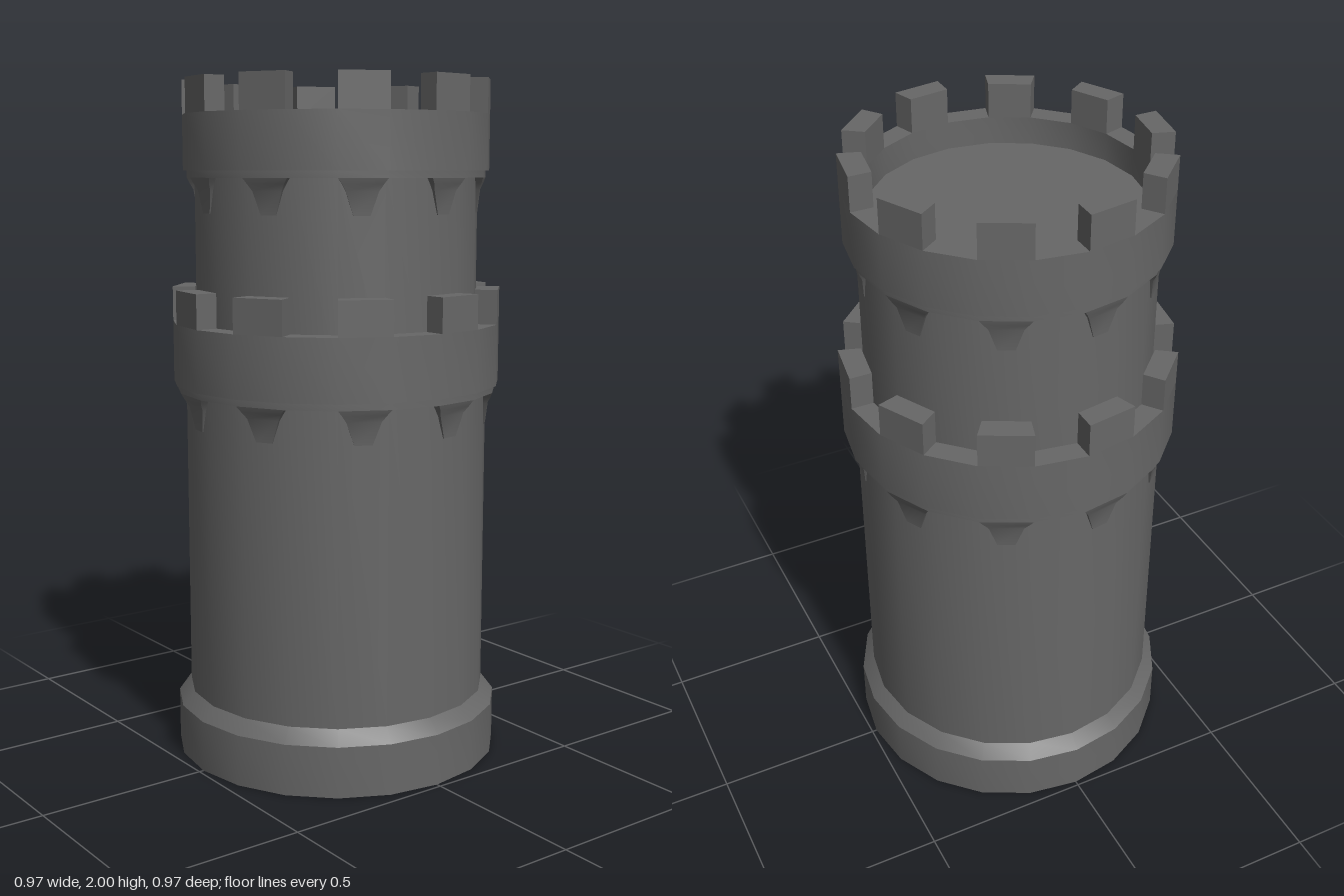
import * as THREE from 'three';
import { toCreasedNormals } from 'three/addons/utils/BufferGeometryUtils.js';

const SIDES = 20;
const HALF = Math.PI / SIDES;
const stone = new THREE.MeshStandardMaterial({ color: 0x676767 });

// Faceted round wall from a [radius, y] profile, smooth around and sharp at ledges
function turned(name, profile) {
  const points = profile.map(([r, y]) => new THREE.Vector2(r, y));
  const geometry = toCreasedNormals(new THREE.LatheGeometry(points, SIDES), 0.5);
  const mesh = new THREE.Mesh(geometry, stone);
  mesh.name = name;
  return mesh;
}

// Block on one facet of the wall, from levels of [y, inner radius, outer radius, width share]
function facetBlock(levels) {
  const c = Math.cos(HALF), s = Math.sin(HALF);
  const positions = [], index = [];
  for (const [y, rIn, rOut, w] of levels) {
    positions.push(
      -rOut * s * w, y, rOut * c, rOut * s * w, y, rOut * c,
      rIn * s * w, y, rIn * c, -rIn * s * w, y, rIn * c);
  }
  for (let l = 0; l < levels.length - 1; l++) {
    for (let i = 0; i < 4; i++) {
      const a = l * 4 + i, b = l * 4 + (i + 1) % 4;
      index.push(a, b, b + 4, a, b + 4, a + 4);
    }
  }
  const t = (levels.length - 1) * 4;
  index.push(0, 2, 1, 0, 3, 2, t, t + 1, t + 2, t, t + 2, t + 3);
  const geometry = new THREE.BufferGeometry();
  geometry.setAttribute('position', new THREE.Float32BufferAttribute(positions, 3));
  geometry.setIndex(index);
  return toCreasedNormals(geometry, 0.5);
}

// Repeat a block on every second facet
function ringOf(name, geometry) {
  const group = new THREE.Group();
  group.name = name + 's';
  for (let k = 0; k < SIDES; k += 2) {
    const mesh = new THREE.Mesh(geometry, stone);
    mesh.name = name;
    mesh.rotation.y = (2 * k + 1) * HALF;
    group.add(mesh);
  }
  return group;
}

// Overhanging parapet with its walkway, merlons and corbels
function parapet(name, { shaft, band, outer, inner, bottom, top }) {
  const group = new THREE.Group();
  group.name = name;
  const sill = top - 0.1, floor = top - 0.18;
  const bandBottom = bottom - 0.02, foot = bandBottom - 0.1;
  group.add(turned('parapetWall', [
    [shaft - 0.01, bandBottom], [band, bandBottom], [band, bottom], [outer, bottom],
    [outer, sill], [inner, sill], [inner, floor], [0, floor],
  ]));
  group.add(ringOf('merlon', facetBlock([
    [sill, inner, outer, 1], [top, inner, outer, 1],
  ])));
  const lip = band - shaft, back = shaft - 0.02;
  group.add(ringOf('corbel', facetBlock([
    [foot, back, shaft + lip * 0.12, 0.36],
    [foot + 0.065, back, shaft + lip * 0.4, 0.68],
    [foot + 0.085, back, shaft + lip * 0.8, 0.85],
    [bandBottom, back, band, 1],
  ])));
  return group;
}

export function createModel() {
  const tower = new THREE.Group();
  tower.name = 'tower';

  // Plinth with bevelled top, then the two shafts
  tower.add(turned('base', [[0, 0], [0.486, 0], [0.486, 0.15], [0.449, 0.19]]));
  tower.add(turned('lowerShaft', [[0.449, 0.19], [0.449, 1.11]]));
  tower.add(turned('upperShaft', [[0.416, 1.2], [0.416, 1.73]]));

  tower.add(parapet('lowerParapet', {
    shaft: 0.449, band: 0.476, outer: 0.486, inner: 0.42, bottom: 1.12, top: 1.4,
  }));
  tower.add(parapet('upperParapet', {
    shaft: 0.416, band: 0.439, outer: 0.45, inner: 0.385, bottom: 1.74, top: 2,
  }));
  return tower;
}
